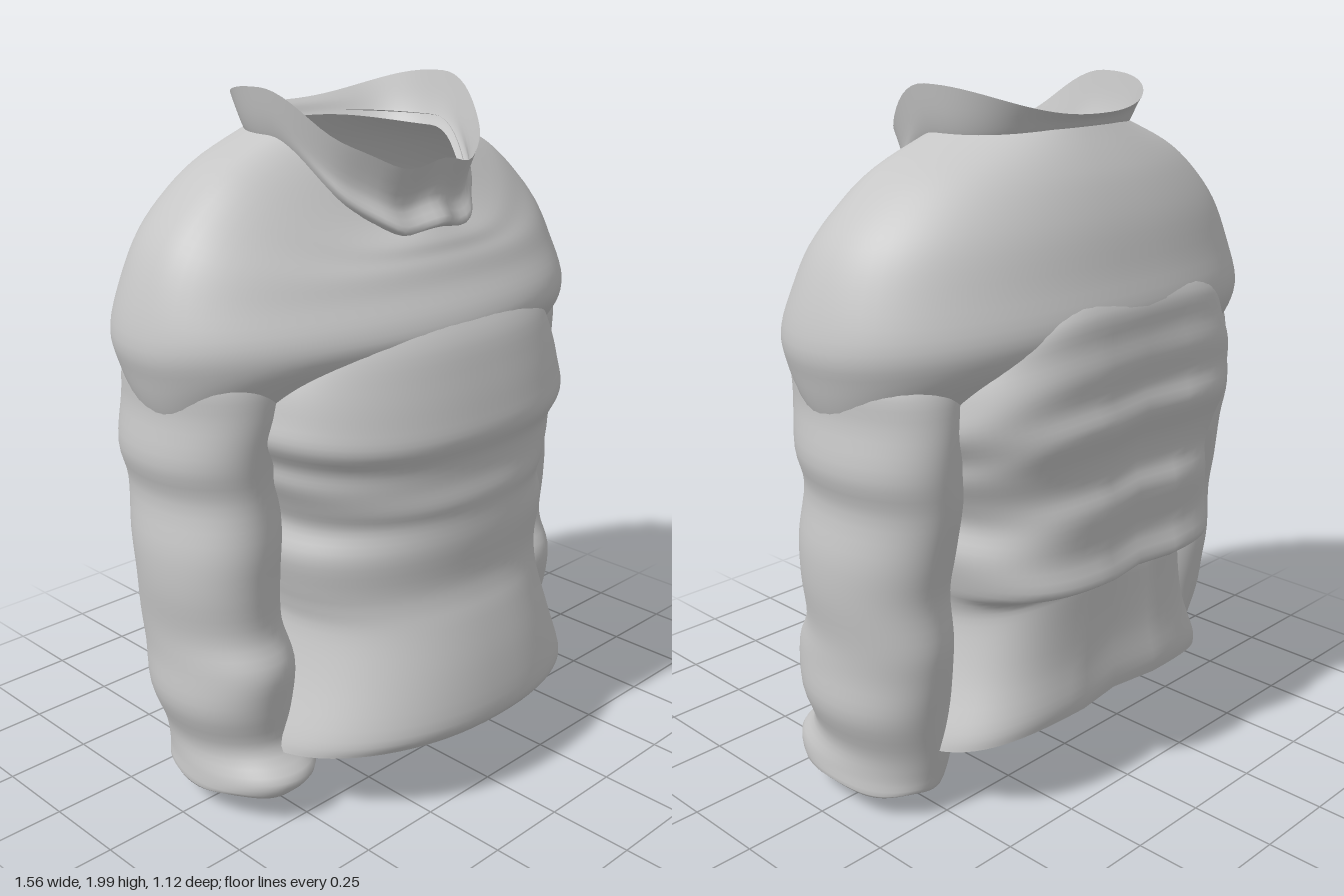
import * as THREE from 'three';

const SEG = 80;
const cloth = new THREE.MeshStandardMaterial({ color: 0xc6c6c6, side: THREE.DoubleSide });
cloth.name = 'grey cloth';

// Catmull-Rom subdivision of a list of rows
function smooth(rows, n) {
  const out = [], last = rows.length - 1;
  const at = i => rows[Math.min(Math.max(i, 0), last)];
  for (let i = 0; i < last; i++) {
    for (let k = 0; k < n; k++) {
      const t = k / n;
      out.push(rows[i].map((_, c) => {
        const [a, b, d, e] = [at(i - 1)[c], at(i)[c], at(i + 1)[c], at(i + 2)[c]];
        return b + 0.5 * t * (d - a + t * (2 * a - 5 * b + 4 * d - e + t * (3 * (b - d) + e - a)));
      }));
    }
  }
  out.push(rows[last]);
  return out;
}

// Loft of superellipse rings, bottom to top.
// Row: [y front, y side, y back, z front, z back, half width, centre x]
function loft(name, rows, { zc, nF = 2, nB = 2, tweak }) {
  const rings = smooth(rows, 4), pos = [], idx = [];
  const pw = (v, n) => Math.sign(v) * Math.abs(v) ** (2 / n);
  rings.forEach(([yF, yS, yB, zF, zB, hw, cx = 0], i) => {
    const mid = zc ?? (zF + zB) / 2;
    for (let j = 0; j < SEG; j++) {
      const a = (j / SEG) * Math.PI * 2, s = Math.sin(a), c = Math.cos(a);
      const n = c > 0 ? nF : nB, w = c > 0 ? 1 - s ** 4 : c * c;
      const p = new THREE.Vector3(
        cx + hw * pw(s, n),
        yS + ((c > 0 ? yF : yB) - yS) * w,
        mid + pw(c, n) * (c > 0 ? zF - mid : mid - zB));
      if (tweak) tweak(p, a, i / (rings.length - 1));
      pos.push(p.x, p.y, p.z);
      if (i < rings.length - 1) {
        const k = (j + 1) % SEG, A = i * SEG + j, B = i * SEG + k;
        idx.push(A, B, B + SEG, A, B + SEG, A + SEG);
      }
    }
  });
  const g = new THREE.BufferGeometry();
  g.setAttribute('position', new THREE.Float32BufferAttribute(pos, 3));
  g.setIndex(idx);
  g.computeVertexNormals();
  const m = new THREE.Mesh(g, cloth);
  m.name = name;
  return m;
}

export function createModel() {
  const shirt = new THREE.Group();
  shirt.name = 'longSleevedTop';

  // Torso with folds, open at the hem, tucked under the yoke
  shirt.add(loft('torso', [
    [0.23, 0.20, 0.27, 0.535, -0.46, 0.56],
    [0.28, 0.25, 0.32, 0.56, -0.465, 0.545],
    [0.42, 0.40, 0.44, 0.54, -0.45, 0.485],
    [0.55, 0.54, 0.61, 0.505, -0.45, 0.445],
    [0.62, 0.61, 0.66, 0.48, -0.46, 0.45],
    [0.68, 0.67, 0.69, 0.47, -0.545, 0.465],
    [0.78, 0.77, 0.78, 0.475, -0.525, 0.485],
    [0.86, 0.85, 0.90, 0.47, -0.54, 0.46],
    [0.91, 0.92, 0.97, 0.475, -0.52, 0.485],
    [0.97, 0.99, 1.05, 0.465, -0.53, 0.52],
    [1.03, 1.05, 1.14, 0.468, -0.56, 0.53],
    [1.09, 1.12, 1.21, 0.488, -0.54, 0.57],
    [1.16, 1.19, 1.29, 0.477, -0.545, 0.56],
    [1.25, 1.27, 1.36, 0.455, -0.53, 0.54],
    [1.35, 1.35, 1.44, 0.423, -0.52, 0.50],
    [1.43, 1.44, 1.52, 0.365, -0.46, 0.43],
  ], {
    zc: 0.1, nF: 2.25, nB: 4,
    // spine groove, fading out at the shoulders
    tweak: (p, a) => {
      const fade = Math.min(1, Math.max(0, (1.4 - p.y) * 4));
      if (Math.cos(a) < 0) p.z += 0.022 * fade * Math.exp(-((p.x / 0.05) ** 2));
    },
  }));

  // Shoulders and upper chest, tucked in below and sloping up to the neckline
  shirt.add(loft('shoulderYoke', [
    [1.20, 1.10, 1.20, 0.27, -0.38, 0.69],
    [1.28, 1.19, 1.28, 0.345, -0.45, 0.735],
    [1.35, 1.28, 1.35, 0.40, -0.51, 0.763],
    [1.41, 1.37, 1.42, 0.39, -0.525, 0.78],
    [1.48, 1.50, 1.52, 0.345, -0.495, 0.747],
    [1.53, 1.62, 1.64, 0.32, -0.46, 0.69],
    [1.56, 1.72, 1.74, 0.30, -0.415, 0.60],
    [1.59, 1.80, 1.81, 0.285, -0.37, 0.49],
    [1.62, 1.87, 1.88, 0.26, -0.315, 0.32],
  ], { zc: -0.05, nB: 2.2 }));

  // Standing collar, crumpled at the front
  shirt.add(loft('collar', [
    [1.61, 1.84, 1.87, 0.25, -0.30, 0.31],
    [1.63, 1.87, 1.88, 0.285, -0.31, 0.325],
    [1.70, 1.92, 1.90, 0.25, -0.325, 0.34],
    [1.80, 1.995, 1.915, 0.29, -0.345, 0.355],
  ], {
    zc: -0.05, nB: 2.4,
    tweak: (p, a, t) => {
      const f = Math.max(0, Math.cos(a)) ** 2;
      p.z += f * (1 - t) * 0.015 * Math.cos(13 * a);
      p.y += f * 0.012 * Math.cos(9 * a);
    },
  }));

  // Sleeves with soft rolls, ragged cuffs and a turned-in edge
  for (const side of [1, -1]) {
    const rows = [ // y, outer x, inner x, front z, back z
      [0.12, 0.66, 0.42, 0.16, -0.18],
      [0.08, 0.705, 0.40, 0.23, -0.23],
      [0.13, 0.705, 0.37, 0.27, -0.245],
      [0.21, 0.70, 0.38, 0.20, -0.26],
      [0.33, 0.74, 0.39, 0.21, -0.28],
      [0.45, 0.735, 0.40, 0.22, -0.30],
      [0.55, 0.735, 0.41, 0.175, -0.31],
      [0.68, 0.75, 0.41, 0.175, -0.30],
      [0.80, 0.75, 0.40, 0.18, -0.32],
      [0.94, 0.73, 0.40, 0.17, -0.345],
      [1.05, 0.755, 0.40, 0.18, -0.355],
      [1.18, 0.737, 0.39, 0.20, -0.355],
      [1.28, 0.735, 0.38, 0.20, -0.34],
      [1.37, 0.70, 0.38, 0.16, -0.28],
    ].map(([y, xo, xi, zF, zB]) => [y + 0.01, y, y, zF, zB, (xo - xi) / 2, side * (xo + xi) / 2]);
    shirt.add(loft(side > 0 ? 'leftSleeve' : 'rightSleeve', rows, {
      nF: 2.1,
      tweak: (p, a, t) => {
        const cuff = Math.max(0, 1 - t * 7);
        p.y += cuff * 0.012 * Math.sin(5 * a);
        // drooping corner of the left cuff
        if (side > 0) {
          const droop = Math.min(1, cuff * 1.8) * Math.exp(-(((a - 4.3) / 0.3) ** 2));
          p.y -= 0.085 * droop;
          p.x += 0.045 * droop;
        }
      },
    }));
  }
  return shirt;
}
